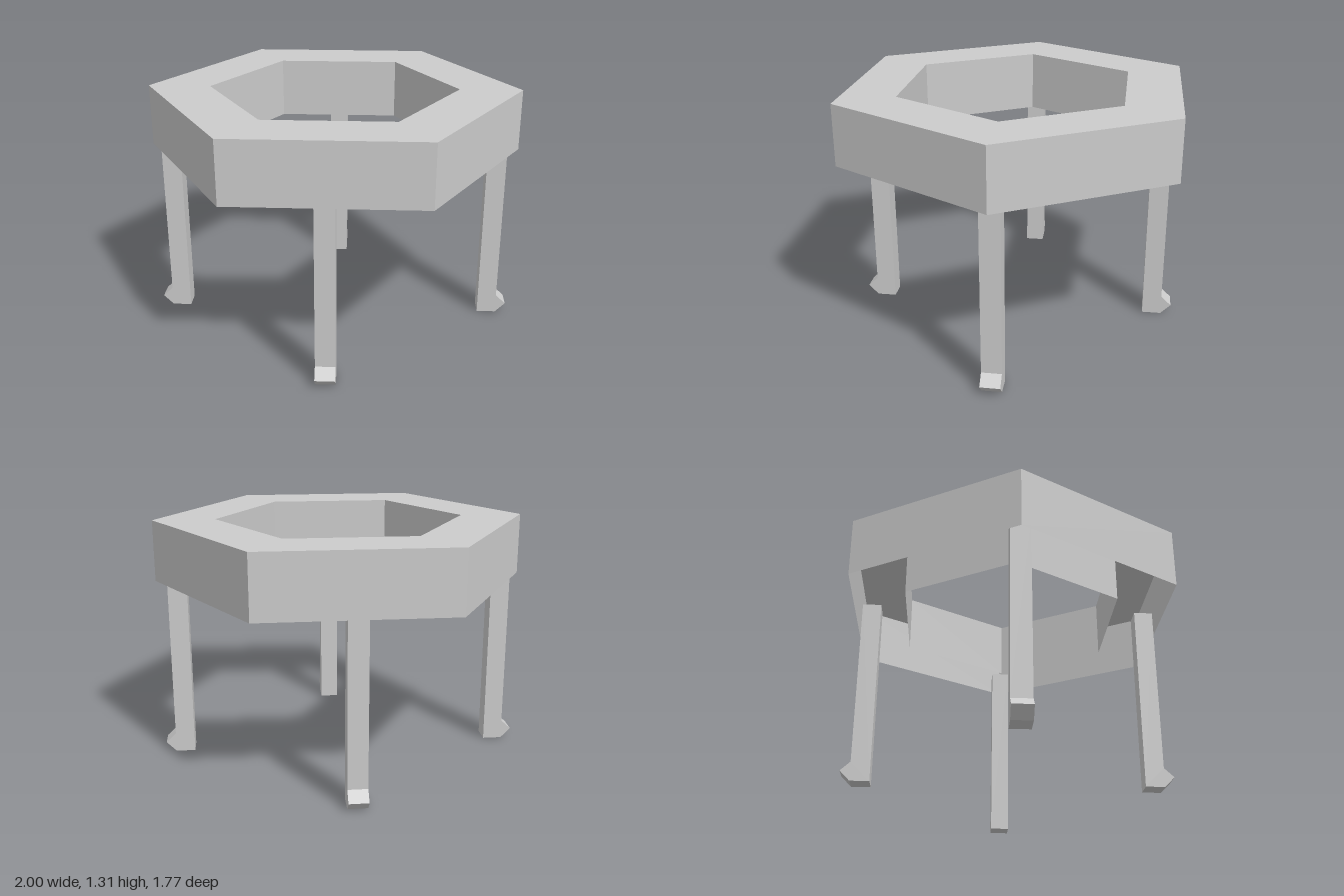
import * as THREE from 'three';

const material = new THREE.MeshStandardMaterial({ color: 0xcccccc, flatShading: true, side: THREE.DoubleSide });

const OUTER = 1, INNER = 0.667;      // hexagon corner radii
const TOP = 1.31, BOTTOM = 0.98;     // height range of the ring
const LEG_TOP = 1.05, LEG_WIDTH = 0.104;

function add(parent, name, geometry) {
  const mesh = new THREE.Mesh(geometry, material);
  mesh.name = name;
  parent.add(mesh);
  return mesh;
}

// Open six-sided wall with corners on the x axis
function hexWall(radius) {
  return new THREE.CylinderGeometry(radius, radius, TOP - BOTTOM, 6, 1, true)
    .rotateY(Math.PI / 2)
    .translate(0, (TOP + BOTTOM) / 2, 0);
}

// Square leg along +x with a pointed toe facing outward
function legGeometry() {
  const profile = new THREE.Shape([
    [0, 0], [0.104, 0], [0.158, 0.055], [0.104, 0.105], [0.104, LEG_TOP], [0, LEG_TOP],
  ].map(([x, y]) => new THREE.Vector2(x, y)));
  return new THREE.ExtrudeGeometry(profile, { depth: LEG_WIDTH, bevelEnabled: false })
    .translate(0, 0, -LEG_WIDTH / 2);
}

export function createModel() {
  const model = new THREE.Group();
  model.name = 'hexagonalTable';

  // Hollow ring top, open underneath
  const ring = new THREE.Group();
  ring.name = 'ringTop';
  add(ring, 'outerWall', hexWall(OUTER));
  add(ring, 'innerWall', hexWall(INNER));
  add(ring, 'topSurface', new THREE.RingGeometry(INNER, OUTER, 6).rotateX(-Math.PI / 2).translate(0, TOP, 0));
  model.add(ring);

  // Four legs, those on the x axis standing further out
  const legs = new THREE.Group();
  legs.name = 'legs';
  legs.position.x = -0.005;
  ['leftLeg', 'backLeg', 'rightLeg', 'frontLeg'].forEach((name, i) => {
    const inset = i % 2 ? 0.728 : 0.836;
    add(legs, name, legGeometry().translate(inset, 0, 0).rotateY(i * Math.PI / 2));
  });
  model.add(legs);

  return model;
}
